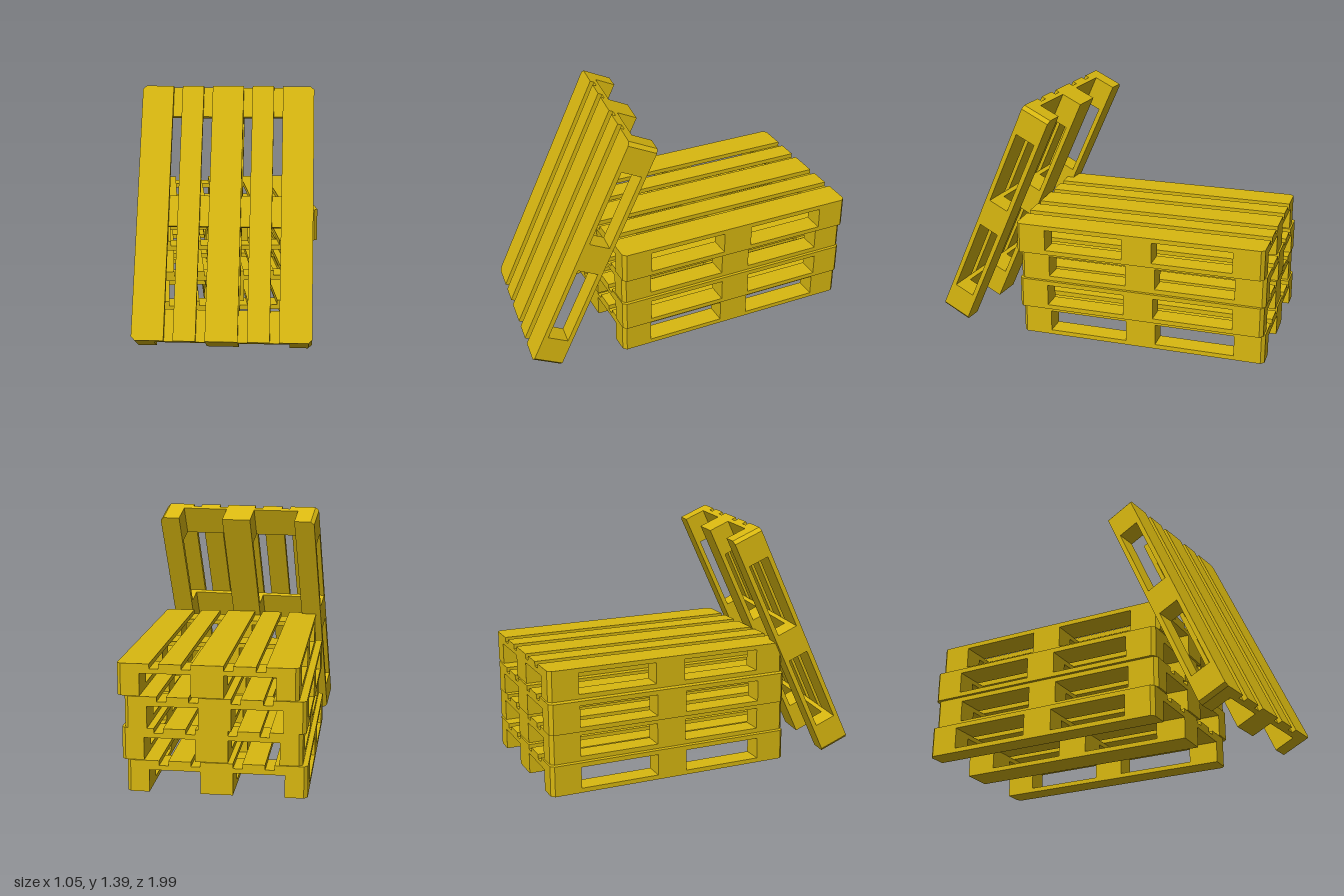
import * as THREE from 'three';

const W = 0.965, L = 1.445, H = 0.175; // pallet width, length, height
const T = 0.0262;                      // board thickness
const WIDE = 0.1745, NARROW = 0.1205;  // board widths
const CUT = 0.02;                      // chamfer on the pallet's outer corners

const wood = new THREE.MeshStandardMaterial({ color: 0xd9b810, flatShading: true });

// Board or block centred on (x, z), standing on y; its corners are cut
// wherever they coincide with the pallet's outer corners.
function slab(name, x, z, w, l, y, h) {
  const shape = new THREE.Shape();
  const points = [];
  for (const [sx, sz] of [[-1, -1], [1, -1], [1, 1], [-1, 1]]) {
    const px = x + sx * w / 2, pz = z + sz * l / 2;
    const outer = Math.abs(px) > W / 2 - 0.001 && Math.abs(pz) > L / 2 - 0.001;
    if (!outer) {
      points.push([px, pz]);
      continue;
    }
    const alongX = [px - sx * CUT, pz], alongZ = [px, pz - sz * CUT];
    points.push(...(sx * sz > 0 ? [alongZ, alongX] : [alongX, alongZ]));
  }
  // after the quarter turn, shape y becomes -z
  points.reverse().forEach(([px, pz], i) => (i ? shape.lineTo(px, -pz) : shape.moveTo(px, -pz)));
  const geometry = new THREE.ExtrudeGeometry(shape, { depth: h, bevelEnabled: false });
  geometry.rotateX(-Math.PI / 2).translate(0, y, 0);
  const mesh = new THREE.Mesh(geometry, wood);
  mesh.name = name;
  return mesh;
}

// One pallet, standing on y = 0 with its length along z
function pallet(name) {
  const group = new THREE.Group();
  group.name = name;

  // five deck boards, wide and narrow in turn
  const gap = (W - 3 * WIDE - 2 * NARROW) / 4;
  let x = -W / 2;
  for (const w of [WIDE, NARROW, WIDE, NARROW, WIDE]) {
    group.add(slab('deckBoard', x + w / 2, 0, w, L, H - T, T));
    x += w + gap;
  }

  // three cross boards under the deck
  const rows = [-1, 0, 1].map((s) => s * (L - WIDE) / 2);
  for (const z of rows) group.add(slab('crossBoard', 0, z, W, WIDE, H - 2 * T, T));

  // three skids, each carrying three blocks
  for (const side of [-1, 0, 1]) {
    const w = side ? NARROW : WIDE;
    const sx = side * (W - NARROW) / 2;
    group.add(slab('skid', sx, 0, w, L, 0, T));
    for (const z of rows) group.add(slab('block', sx, z, w, WIDE, T, H - 3 * T));
  }
  return group;
}

export function createModel() {
  const model = new THREE.Group();
  model.name = 'palletStack';

  // stack of four, slightly out of line, from the bottom up
  const offsets = [[-0.01, -0.274], [0.018, -0.265], [0.0, -0.27], [0.04, -0.26]];
  offsets.forEach(([x, z], i) => {
    const p = pallet('stackedPallet');
    p.position.set(x, i * H, z);
    model.add(p);
  });

  // fifth pallet leaning on the stack, deck to the front
  const leaning = pallet('leaningPallet');
  leaning.rotation.set(THREE.MathUtils.degToRad(65.8), -0.119, 0, 'YXZ');
  const toDeck = new THREE.Vector3(0, H, 0).applyEuler(leaning.rotation);
  leaning.position.set(-0.013, 0.733, 0.642).sub(toDeck);
  model.add(leaning);

  return model;
}
